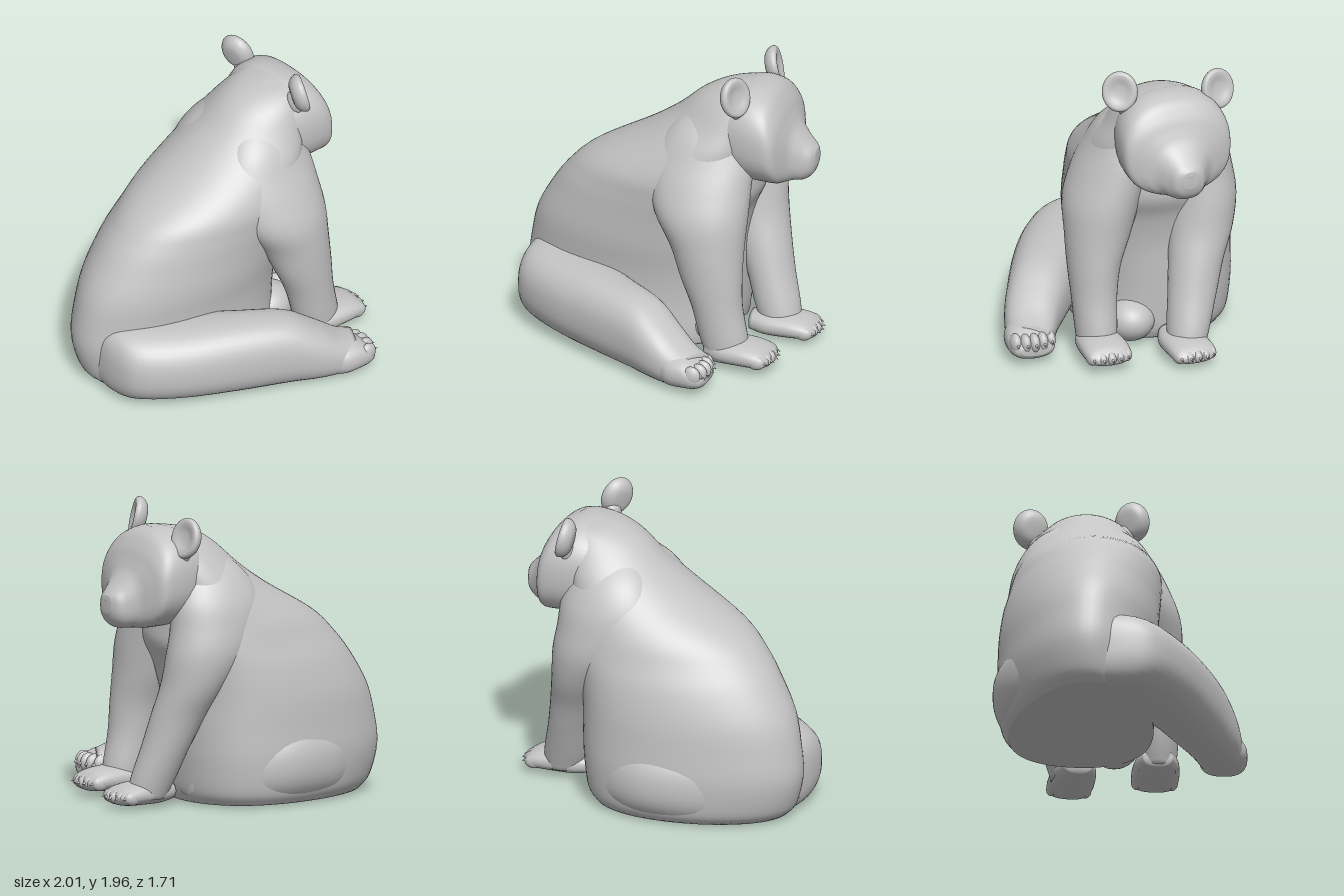
import * as THREE from 'three';

const X = new THREE.Vector3(1, 0, 0), Y = new THREE.Vector3(0, 1, 0), Z = new THREE.Vector3(0, 0, 1);

// Smooth closed skin through sections [cx, cy, cz, radiusU, radiusV] lying in the plane u, v;
// skew moves the widest point along u, giving egg-shaped sections
function loft(sections, u, v, power = 2.2, sides = 40, skew = 0) {
  const centers = new THREE.CatmullRomCurve3(sections.map(s => new THREE.Vector3(s[0], s[1], s[2])), false, 'catmullrom');
  const radii = new THREE.CatmullRomCurve3(sections.map(s => new THREE.Vector3(s[3], s[4], 0)), false, 'catmullrom');
  const first = centers.getPoint(0), last = centers.getPoint(1);
  const along = u.clone().cross(v).dot(last.clone().sub(first));
  const w = along < 0 ? v.clone().negate() : v;
  const steps = (sections.length - 1) * 5, pos = [], idx = [];
  for (let i = 0; i <= steps; i++) {
    const c = centers.getPoint(i / steps), r = radii.getPoint(i / steps);
    for (let j = 0; j < sides; j++) {
      const a = j / sides * Math.PI * 2, co = Math.cos(a), si = Math.sin(a);
      const p = c.clone()
        .addScaledVector(u, r.x * (Math.sign(co) * Math.abs(co) ** (2 / power) + skew * si * si))
        .addScaledVector(w, r.y * Math.sign(si) * Math.abs(si) ** (2 / power));
      pos.push(p.x, Math.max(p.y, 0), p.z);
      if (i < steps) {
        const k = i * sides, n = (j + 1) % sides;
        idx.push(k + j, k + n, k + sides + n, k + j, k + sides + n, k + sides + j);
      }
    }
  }
  // end caps
  const base = steps * sides, a = pos.length / 3;
  pos.push(first.x, first.y, first.z, last.x, last.y, last.z);
  for (let j = 0; j < sides; j++) {
    const n = (j + 1) % sides;
    idx.push(a, n, j, a + 1, base + j, base + n);
  }
  const g = new THREE.BufferGeometry();
  g.setAttribute('position', new THREE.Float32BufferAttribute(pos, 3));
  g.setIndex(idx);
  g.computeVertexNormals();
  return g;
}

export function createModel() {
  const bear = new THREE.Group();
  bear.name = 'sittingBear';
  const fur = new THREE.MeshStandardMaterial({ color: 0xc4c4c4 });
  fur.name = 'grey fur';

  const add = (name, geometry, parent = bear) => {
    const m = new THREE.Mesh(geometry, fur);
    m.name = name;
    parent.add(m);
    return m;
  };
  const ball = (name, p, r, parent) => {
    const m = add(name, new THREE.SphereGeometry(1, 24, 16), parent);
    m.position.set(...p);
    m.scale.set(...r);
    return m;
  };

  // Torso: egg-shaped horizontal slices [y, xMin, xMax, zMin, zMax]
  const slices = [
    [0.015, -0.88, 0.42, -0.75, 0.18], [0.1, -0.95, 0.46, -0.8, 0.18], [0.3, -1.0, 0.48, -0.825, 0.17],
    [0.5, -0.98, 0.49, -0.82, 0.18], [0.7, -0.93, 0.5, -0.81, 0.21], [0.9, -0.82, 0.54, -0.78, 0.23],
    [1.05, -0.71, 0.6, -0.74, 0.25], [1.2, -0.55, 0.6, -0.7, 0.26], [1.4, -0.2, 0.62, -0.63, 0.22],
    [1.55, 0.02, 0.64, -0.56, 0.15], [1.7, 0.19, 0.66, -0.46, 0.08], [1.78, 0.34, 0.66, -0.38, 0.0],
    [1.815, 0.5, 0.64, -0.26, -0.12],
  ];
  add('torso', loft(slices.map(([y, x0, x1, z0, z1]) =>
    [(x0 + x1) / 2, y, (z0 + z1) / 2, (x1 - x0) / 2, (z1 - z0) / 2]), X, Z, 2, 72, 0.25));

  // Head with muzzle: slices along x [x, yMin, yMax, halfWidth]
  const face = [
    [0.28, 1.35, 1.66, 0.22], [0.42, 1.24, 1.765, 0.31], [0.56, 1.18, 1.82, 0.355], [0.7, 1.17, 1.79, 0.37],
    [0.775, 1.17, 1.7, 0.35], [0.815, 1.175, 1.61, 0.27], [0.85, 1.175, 1.54, 0.19],
    [0.91, 1.18, 1.47, 0.135], [0.96, 1.22, 1.42, 0.1], [0.985, 1.28, 1.39, 0.05],
  ];
  add('head', loft(face.map(([x, y0, y1, w]) => [x, (y0 + y1) / 2, -0.2, w, (y1 - y0) / 2]), Z, Y, 2.4, 48));
  ball('nose', [0.952, 1.365, -0.2], [0.035, 0.045, 0.065]);

  // Shallow cupped ears
  const earProfile = [[0, -0.055], [0.07, -0.05], [0.11, -0.025], [0.127, 0.01], [0.115, 0.035], [0.085, 0.035], [0.045, 0.022], [0, 0.018]]
    .map(([r, h]) => new THREE.Vector2(r, h));
  const earCurve = new THREE.SplineCurve(earProfile).getPoints(24);
  earCurve.forEach(p => { p.x = Math.max(p.x, 0); });
  const ear = (name, p, turn, side) => {
    const m = add(name, new THREE.LatheGeometry(earCurve, 28));
    m.position.set(...p);
    m.rotation.set(0, turn, -Math.PI / 2 + 0.22, 'YZX');
    m.scale.set(1.05, 1, 0.92);
    ball(name + 'Root', [p[0] + 0.01, p[1] - 0.1, p[2] - side * 0.05], [0.05, 0.08, 0.07]);
  };
  ear('leftEar', [0.52, 1.825, 0.11], -0.5, 1);
  ear('rightEar', [0.58, 1.77, -0.535], 0.2, -1);

  // Paw pointing along +x, with soft toes and short claws; p is the middle of the toe line
  const paw = (name, p, length, halfWidth, height, turn, toeLift) => {
    const g = new THREE.Group();
    g.name = name;
    g.position.set(...p);
    g.rotation.y = turn;
    bear.add(g);
    const h = height / 2;
    add('pawPad', loft([
      [-length, h, 0, halfWidth * 0.6, h * 0.8], [-length * 0.7, h, 0, halfWidth * 0.9, h],
      [-length * 0.3, h, 0, halfWidth, h], [0, h * 0.9, 0, halfWidth * 0.98, h * 0.85],
      [0.05, h * 0.8, 0, halfWidth * 0.85, h * 0.6], [0.075, h * 0.75, 0, halfWidth * 0.6, h * 0.3],
    ], Z, Y, 2.3, 32), g);
    for (let i = -2; i <= 2; i++) {
      const z = i * halfWidth * 0.37, x = 0.035 - i * i * 0.008;
      ball('toe', [x, h * 0.8 + toeLift, z], [0.06, h * 0.6, halfWidth * 0.24], g);
      const claw = add('claw', new THREE.ConeGeometry(0.016, 0.045, 10), g);
      claw.position.set(x + 0.06, h * 0.8 + toeLift, z);
      claw.rotation.z = -Math.PI / 2 - 0.3;
    }
  };

  // Front legs flaring into the shoulders: horizontal slices [x, y, z, radiusX, radiusZ]
  add('leftFrontLeg', loft([
    [0.34, 1.66, -0.1, 0.12, 0.1], [0.31, 1.52, -0.03, 0.25, 0.18], [0.29, 1.35, 0.03, 0.33, 0.215],
    [0.29, 1.18, 0.1, 0.335, 0.235], [0.315, 1.0, 0.165, 0.31, 0.24], [0.37, 0.8, 0.21, 0.245, 0.21],
    [0.41, 0.6, 0.25, 0.205, 0.17], [0.455, 0.4, 0.265, 0.168, 0.147], [0.5, 0.2, 0.27, 0.16, 0.135],
    [0.53, 0.06, 0.275, 0.14, 0.12],
  ], X, Z, 2));
  paw('leftFrontPaw', [0.765, 0.035, 0.285], 0.37, 0.155, 0.16, -0.05, 0);

  add('rightFrontLeg', loft([
    [0.34, 1.66, -0.3, 0.12, 0.1], [0.32, 1.52, -0.38, 0.25, 0.19], [0.31, 1.35, -0.45, 0.32, 0.22],
    [0.33, 1.18, -0.485, 0.315, 0.225], [0.39, 1.0, -0.49, 0.285, 0.23], [0.48, 0.8, -0.46, 0.215, 0.21],
    [0.555, 0.6, -0.4, 0.18, 0.18], [0.62, 0.4, -0.35, 0.157, 0.16], [0.68, 0.2, -0.3, 0.15, 0.14],
    [0.72, 0.06, -0.27, 0.13, 0.12],
  ], X, Z, 2));
  paw('rightFrontPaw', [0.895, 0.02, -0.255], 0.37, 0.15, 0.15, 0.05, 0);

  // Stretched left hind leg wrapping round the rump, sliced across its direction
  const across = new THREE.Vector3(-0.5, 0, 0.866);
  add('leftHindLeg', loft([
    [-0.9, 0.26, -0.36, 0.1, 0.15], [-0.865, 0.265, -0.25, 0.22, 0.23], [-0.785, 0.268, -0.11, 0.285, 0.255],
    [-0.55, 0.265, 0.1, 0.275, 0.258], [-0.25, 0.265, 0.32, 0.23, 0.255], [0.03, 0.25, 0.49, 0.2, 0.24],
    [0.2, 0.2, 0.595, 0.18, 0.19], [0.34, 0.15, 0.66, 0.16, 0.135], [0.45, 0.135, 0.69, 0.14, 0.1],
  ], across, Y, 2.4));
  paw('leftHindPaw', [0.465, 0.025, 0.695], 0.24, 0.155, 0.215, -0.06, 0.035);

  // Tucked right hind leg, nearly flush with the flank
  add('rightHindLeg', loft([
    [-0.78, 0.26, -0.38, 0.1, 0.14], [-0.64, 0.265, -0.47, 0.19, 0.23], [-0.4, 0.27, -0.56, 0.24, 0.265],
    [-0.1, 0.275, -0.61, 0.25, 0.27], [0.15, 0.25, -0.56, 0.235, 0.245], [0.34, 0.2, -0.45, 0.19, 0.18],
    [0.46, 0.16, -0.34, 0.08, 0.09],
  ], Z, Y, 2.2));
  ball('tuckedFoot', [0.36, 0.15, -0.02], [0.17, 0.14, 0.16]);

  return bear;
}
